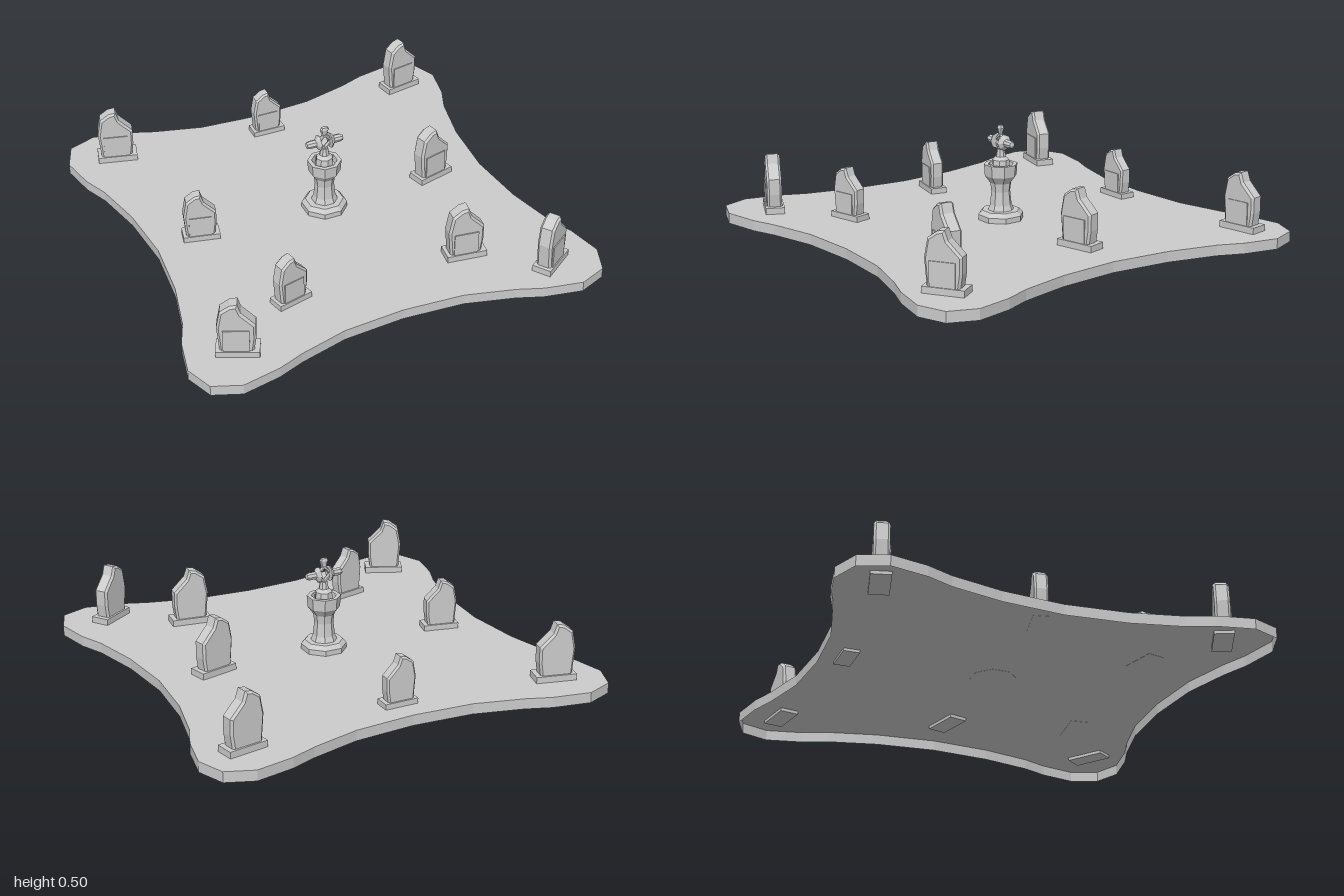
import * as THREE from 'three';

const mat = new THREE.MeshStandardMaterial({ color: 0xcccccc, flatShading: true, side: THREE.DoubleSide });
const GROUND = 0.05;

function add(parent, name, geometry, x = 0, y = 0, z = 0) {
  const mesh = new THREE.Mesh(geometry, mat);
  mesh.name = name;
  mesh.position.set(x, y, z);
  parent.add(mesh);
  return mesh;
}

const lathe = (points, sides) =>
  new THREE.LatheGeometry(points.map(([r, y]) => new THREE.Vector2(r, y)), sides);

// Four-cornered plot: one quadrant mirrored into a closed outline
function makeGround(parent) {
  const quarter = [[0.835, 0], [0.86, 0.29], [0.915, 0.53], [0.965, 0.65], [1, 0.82], [0.95, 0.95],
    [0.82, 1], [0.64, 0.965], [0.52, 0.92], [0.29, 0.86], [0, 0.84]];
  const mirrored = quarter.slice(1, -1).reverse().map(([x, y]) => [-x, y]);
  const half = [...quarter, ...mirrored];
  const outline = [...half, ...half.map(([x, y]) => [-x, -y])];

  const top = new THREE.ShapeGeometry(new THREE.Shape(outline.map(([x, y]) => new THREE.Vector2(x, y))));
  top.rotateX(-Math.PI / 2);
  add(parent, 'groundTop', top, 0, GROUND, 0);

  // Thin skirt around the edge, open underneath
  const positions = [];
  outline.forEach(([ax, ay], i) => {
    const [bx, by] = outline[(i + 1) % outline.length];
    const a = [ax, 0, -ay], b = [bx, 0, -by], c = [bx, GROUND, -by], d = [ax, GROUND, -ay];
    positions.push(...a, ...b, ...c, ...a, ...c, ...d);
  });
  const skirt = new THREE.BufferGeometry();
  skirt.setAttribute('position', new THREE.Float32BufferAttribute(positions, 3));
  skirt.computeVertexNormals();
  add(parent, 'groundEdge', skirt);
}

// Broken headstone on a plinth, with a raised front panel
function makeHeadstone(x, z, turn, scale, sunk) {
  const stone = new THREE.Group();
  stone.name = 'headstone';
  const bottom = sunk ? -0.015 : -0.001;
  add(stone, 'plinth', new THREE.BoxGeometry(0.19, 0.03 - bottom, 0.09), 0, (0.03 + bottom) / 2, 0);

  const profile = [[-0.077, 0.02], [0.07, 0.02], [0.08, 0.09], [0.08, 0.165], [0.018, 0.228],
    [0.003, 0.272], [-0.03, 0.266], [-0.072, 0.235], [-0.088, 0.15]];
  const body = new THREE.ExtrudeGeometry(
    new THREE.Shape(profile.map(([px, py]) => new THREE.Vector2(px, py))),
    { depth: 0.05, bevelEnabled: true, bevelSegments: 1, bevelSize: 0.01, bevelThickness: 0.01, bevelOffset: -0.01 });
  body.translate(0, 0, -0.025);
  add(stone, 'brokenSlab', body);
  add(stone, 'frontPanel', new THREE.BoxGeometry(0.115, 0.11, 0.008), -0.005, 0.085, 0.036);

  stone.position.set(x, GROUND, z);
  stone.rotation.y = turn;
  stone.scale.setScalar(scale);
  return stone;
}

// Octagonal pedestal carrying a winged finial
function makeMonument() {
  const monument = new THREE.Group();
  monument.name = 'monument';

  const base = lathe([[0, -0.001], [0.108, -0.001], [0.108, 0.025], [0.09, 0.045], [0, 0.045]], 8);
  add(monument, 'octagonalBase', base).rotation.y = Math.PI / 8;

  const pedestal = lathe([[0.062, 0.045], [0.052, 0.07], [0.045, 0.135], [0.05, 0.175], [0.076, 0.21],
    [0.08, 0.265], [0.06, 0.265], [0.055, 0.235], [0, 0.235]], 8);
  add(monument, 'pedestal', pedestal).rotation.y = Math.PI / 8;

  const neck = lathe([[0.045, 0.235], [0.04, 0.285], [0.024, 0.3], [0.018, 0.335], [0, 0.335]], 8);
  add(monument, 'neck', neck);

  // Open square hub standing on its corner
  add(monument, 'openHub', new THREE.TorusGeometry(0.036, 0.011, 6, 4), 0, 0.37, 0);

  // Side arms flare into a disc next to the hub
  const arm = lathe([[0, 0.024], [0.038, 0.026], [0.036, 0.032], [0.019, 0.045], [0.019, 0.075],
    [0.014, 0.09], [0, 0.094]], 8);
  for (const side of [-1, 1]) {
    add(monument, side > 0 ? 'leftArm' : 'rightArm', arm, 0, 0.37, 0).rotation.z = -side * Math.PI / 2;
  }

  // Flattened upper arm
  const tip = lathe([[0, 0.03], [0.014, 0.035], [0.016, 0.05], [0.023, 0.066], [0.016, 0.078], [0, 0.081]], 8);
  tip.scale(1, 1, 0.55);
  add(monument, 'upperArm', tip, 0, 0.37, 0);

  monument.position.y = GROUND;
  return monument;
}

export function createModel() {
  const model = new THREE.Group();
  model.name = 'graveyard';
  makeGround(model);
  model.add(makeMonument());

  // x, z, turn, scale, sunk into the ground
  const stones = [
    [-0.76, -0.79, -0.25, 1, true],
    [0, -0.705, 0, 0.85, true],
    [0.79, -0.8, 0.18, 1, true],
    [-0.615, -0.025, -0.22, 0.9, false],
    [0.575, -0.02, 0.25, 1, true],
    [-0.42, 0.57, 0.24, 0.9, false],
    [0.43, 0.595, -0.13, 1, false],
    [-0.76, 0.79, -0.42, 1, true],
    [0.755, 0.815, 0.6, 1, true],
  ];
  for (const stone of stones) model.add(makeHeadstone(...stone));
  return model;
}
